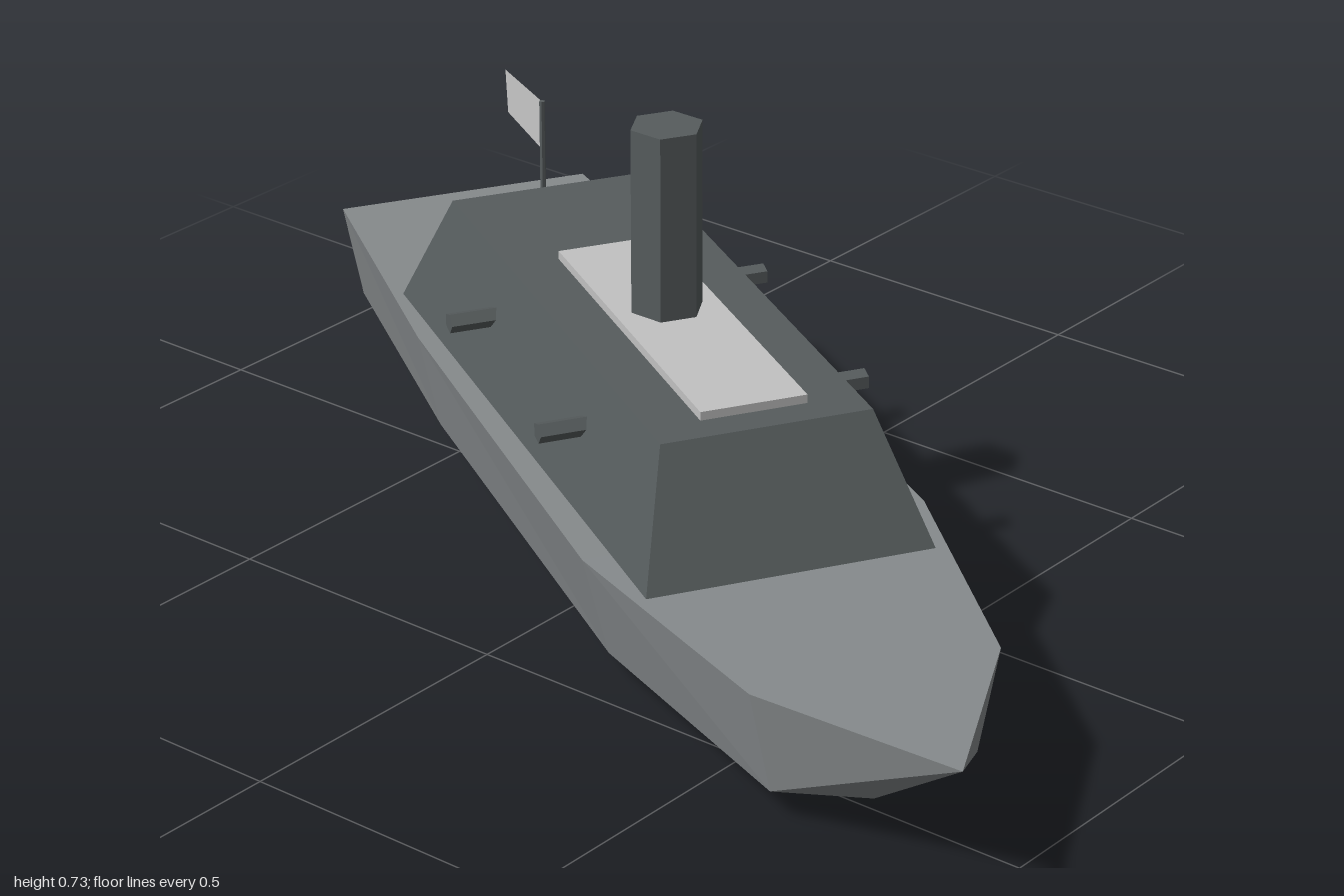
import * as THREE from 'three';

function paint(name, color) {
  const m = new THREE.MeshStandardMaterial({ color, flatShading: true });
  m.name = name;
  return m;
}

// Hull lofted from five-point cross-sections: deck edge, chine, keel, chine, deck edge
function hullGeometry() {
  const deckY = 0.21, chineY = 0.045;
  const stations = [[-1, 0.22, 0.187], [-0.45, 0.262, 0.226], [0.39, 0.277, 0.236], [0.863, 0.195, 0.162]];
  const rings = stations.map(([x, deck, chine]) => [
    [x, deckY, deck], [x, chineY, chine], [x, 0, 0], [x, chineY, -chine], [x, deckY, -deck],
  ]);
  const tip = [1.172, deckY, 0];
  const pos = [];
  const tri = (...pts) => pts.forEach((p) => pos.push(...p));
  rings.forEach((a, i) => {
    const b = rings[i + 1];
    for (let j = 0; j < 5; j++) {
      const k = (j + 1) % 5;
      if (b) {
        tri(a[j], a[k], b[k]);
        tri(a[j], b[k], b[j]);
      } else {
        tri(a[j], a[k], tip);
      }
    }
  });
  // Flat transom
  for (let j = 1; j < 4; j++) tri(rings[0][0], rings[0][j + 1], rings[0][j]);
  const g = new THREE.BufferGeometry();
  g.setAttribute('position', new THREE.Float32BufferAttribute(pos, 3));
  g.computeVertexNormals();
  return g;
}

// Box whose top face is drawn in to make sloping walls
function casemateGeometry() {
  const g = new THREE.BoxGeometry(1, 1, 1);
  const p = g.attributes.position;
  for (let i = 0; i < p.count; i++) {
    const top = p.getY(i) > 0, bow = p.getX(i) > 0;
    const x = top ? (bow ? 0.437 : -0.535) : (bow ? 0.542 : -0.625);
    p.setXYZ(i, x, top ? 0.405 : 0.208, Math.sign(p.getZ(i)) * (top ? 0.17 : 0.232));
  }
  g.computeVertexNormals();
  return g;
}

export function createModel() {
  const model = new THREE.Group();
  const ship = new THREE.Group();
  ship.name = 'ship';
  model.add(ship);

  const hullGrey = paint('hull grey', 0x868a8c);
  const ironGrey = paint('iron grey', 0x565c5d);
  const paleGrey = paint('pale grey', 0xc2c2c2);
  const flagCloth = paint('flag cloth', 0xc8c8c8);
  flagCloth.side = THREE.DoubleSide;

  const add = (name, geometry, material, x = 0, y = 0, z = 0) => {
    const mesh = new THREE.Mesh(geometry, material);
    mesh.name = name;
    mesh.position.set(x, y, z);
    ship.add(mesh);
    return mesh;
  };

  add('hull', hullGeometry(), hullGrey);
  add('casemate', casemateGeometry(), ironGrey);
  add('roofGrating', new THREE.BoxGeometry(0.634, 0.016, 0.172), paleGrey, 0.066, 0.411, 0);
  add('funnel', new THREE.CylinderGeometry(0.059, 0.059, 0.325, 6), ironGrey, 0.012, 0.5625, 0);

  // Two guns through each sloping side
  for (const side of [1, -1]) {
    for (const x of [-0.258, 0.17]) {
      const barrel = new THREE.CylinderGeometry(0.017, 0.017, 0.1, 5);
      barrel.rotateY(side * Math.PI / 2);
      barrel.rotateX(Math.PI / 2);
      add('gun', barrel, ironGrey, x, 0.32, side * 0.22);
    }
  }

  // Flag and staff at the stern
  add('flagStaff', new THREE.CylinderGeometry(0.005, 0.005, 0.23, 6), ironGrey, -0.573, 0.427, 0);
  const flag = new THREE.Shape([
    new THREE.Vector2(0, 0.455), new THREE.Vector2(0, 0.541),
    new THREE.Vector2(-0.187, 0.528), new THREE.Vector2(-0.176, 0.455),
  ]);
  add('flag', new THREE.ShapeGeometry(flag), flagCloth, -0.573, 0, 0);

  // Heading turned between the front and the left
  ship.rotation.y = -Math.PI / 6;
  ship.position.set(-0.025, 0, 0.043);
  return model;
}
